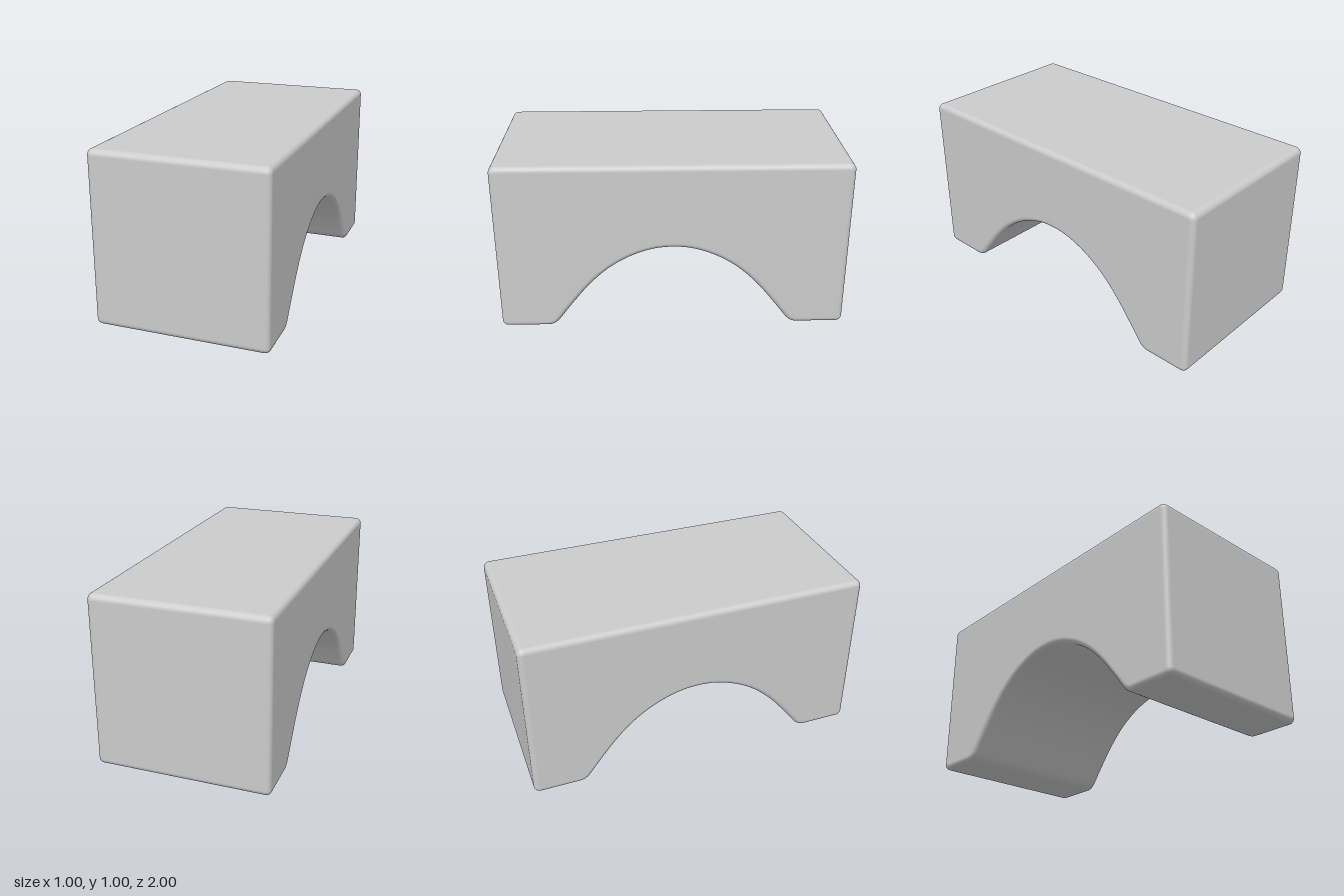
import * as THREE from 'three';
import { mergeVertices } from 'three/addons/utils/BufferGeometryUtils.js';

const WIDTH = 1, BEVEL = 0.03, CORNER = 0.036;

// Side outline: a block with rounded corners and an arch cut from below
function archProfile() {
  const half = [[0.66, 0.04], [0.6, 0.12], [0.5, 0.245], [0.4, 0.345], [0.3, 0.417], [0.2, 0.466], [0.1, 0.496]];
  const arch = [
    ...half.slice(1).map(([z, y]) => new THREE.Vector2(-z, y)),
    new THREE.Vector2(0, 0.505),
    ...half.slice().reverse().map(([z, y]) => new THREE.Vector2(z, y)),
  ];
  const r = CORNER, q = Math.PI / 2;
  const s = new THREE.Shape();
  s.moveTo(-1 + r, 0);
  s.lineTo(-0.73, 0);
  s.quadraticCurveTo(-0.69, 0, -0.66, 0.04);
  s.splineThru(arch);
  s.quadraticCurveTo(0.69, 0, 0.73, 0);
  s.lineTo(1 - r, 0);
  s.absarc(1 - r, r, r, -q, 0);
  s.absarc(1 - r, 1 - r, r, 0, q);
  s.absarc(-1 + r, 1 - r, r, q, 2 * q);
  s.absarc(-1 + r, r, r, 2 * q, 3 * q);
  return s;
}

export function createModel() {
  const group = new THREE.Group();
  group.name = 'archBlock';

  const depth = WIDTH - 2 * BEVEL;
  let geometry = new THREE.ExtrudeGeometry(archProfile(), {
    depth,
    curveSegments: 8,
    bevelEnabled: true,
    bevelThickness: BEVEL,
    bevelSize: BEVEL,
    bevelOffset: -BEVEL,
    bevelSegments: 6,
  });
  geometry.translate(0, 0, -depth / 2);
  geometry.rotateY(-Math.PI / 2);

  // Weld so the rounded edges shade smoothly into the flat faces
  geometry.deleteAttribute('uv');
  geometry.deleteAttribute('normal');
  geometry = mergeVertices(geometry, 1e-5);
  geometry.computeVertexNormals();

  const block = new THREE.Mesh(geometry, new THREE.MeshStandardMaterial({ color: 0xcccccc }));
  block.name = 'bridgeBlock';
  group.add(block);
  return group;
}
